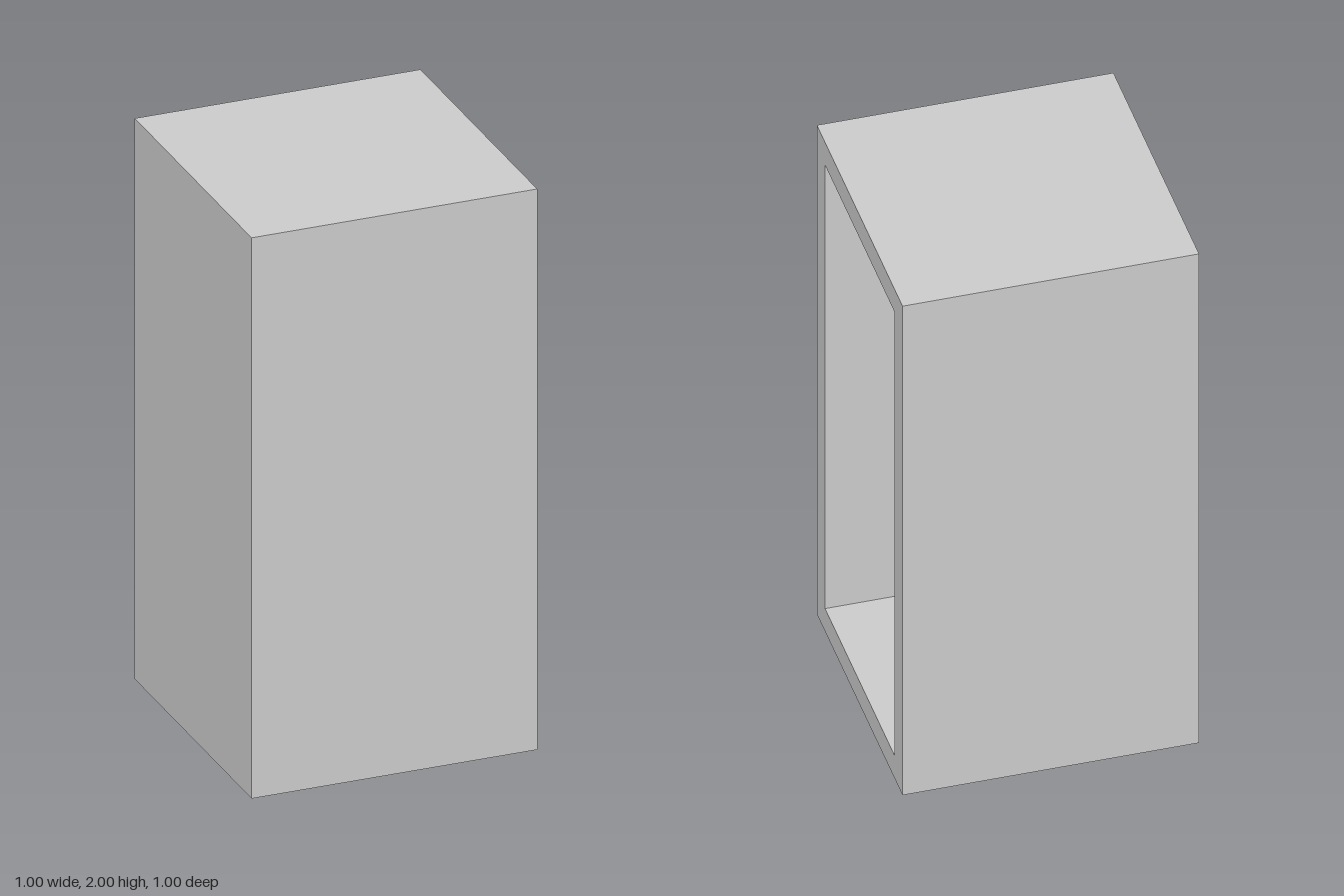
import * as THREE from 'three';

// Rectangular loop at a given x, counter-clockwise seen from +x
function loop(x, halfDepth, bottom, top) {
  return [
    [x, bottom, -halfDepth],
    [x, top, -halfDepth],
    [x, top, halfDepth],
    [x, bottom, halfDepth],
  ];
}

// Skin a series of loops with flat quads and close both ends
function skinLoops(loops) {
  const positions = [];
  const quad = (a, b, c, d) => positions.push(...a, ...b, ...c, ...a, ...c, ...d);
  for (let i = 0; i < loops.length - 1; i++) {
    const p = loops[i], q = loops[i + 1];
    for (let k = 0; k < 4; k++) {
      const n = (k + 1) % 4;
      quad(p[k], p[n], q[n], q[k]);
    }
  }
  quad(...[...loops[0]].reverse());
  quad(...loops[loops.length - 1]);
  const geometry = new THREE.BufferGeometry();
  geometry.setAttribute('position', new THREE.Float32BufferAttribute(positions, 3));
  geometry.computeVertexNormals();
  return geometry;
}

export function createModel() {
  const group = new THREE.Group();
  group.name = 'openCabinet';
  const material = new THREE.MeshStandardMaterial({ color: 0xcccccc, flatShading: true });

  // Hollow casing, open on its left side (+x): outside, rim, then cavity
  const wall = 0.095;
  const casing = new THREE.Mesh(skinLoops([
    loop(-0.5, 0.5, 0, 2),
    loop(0.5, 0.5, 0, 2),
    loop(0.5, 0.5 - wall, 0.093, 1.907),
    loop(-0.5 + wall, 0.5 - wall, 0.093, 1.907),
  ]), material);
  casing.name = 'casing';
  group.add(casing);

  return group;
}
